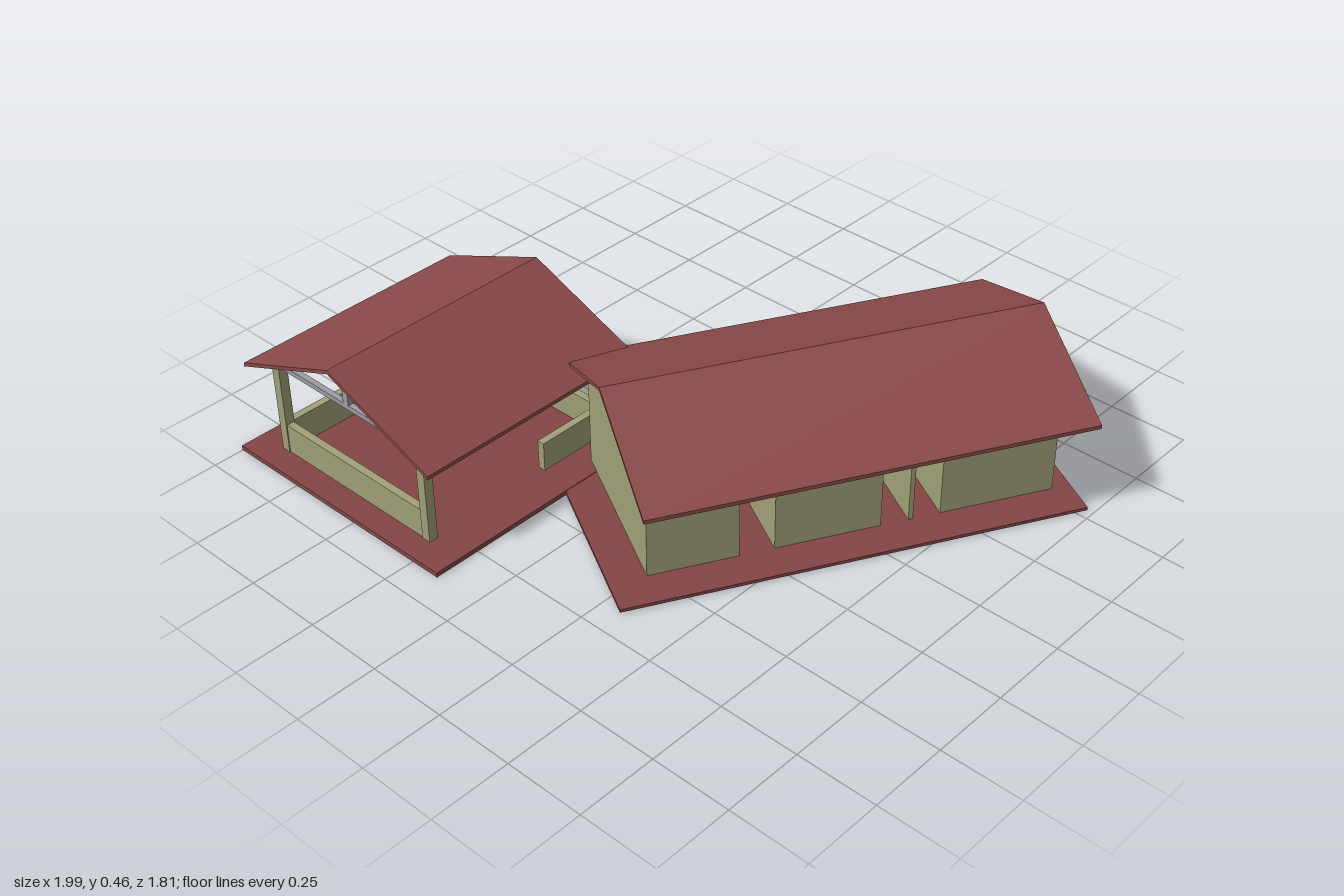
import * as THREE from 'three';

const mat = (color) => new THREE.MeshStandardMaterial({ color, flatShading: true });
const roofMat = mat(0x8b4a4a), floorMat = mat(0x844646), wallMat = mat(0xa0a078), steelMat = mat(0x9c9ca2);

const RIDGE = 0.463, EAVE = 0.305, HALF = 0.392, THICK = 0.012;
const SLOPE = (RIDGE - EAVE) / HALF;
const PITCH = Math.atan(SLOPE);

// Box given by its limits on each axis
function box(parent, name, material, x0, x1, y0, y1, z0, z1) {
  const m = new THREE.Mesh(new THREE.BoxGeometry(x1 - x0, y1 - y0, z1 - z0), material);
  m.position.set((x0 + x1) / 2, (y0 + y1) / 2, (z0 + z1) / 2);
  m.name = name;
  parent.add(m);
  return m;
}

// Outline in x and y, pushed along z from z0 to z1
function prism(parent, name, material, points, z0, z1) {
  const shape = new THREE.Shape(points.map(([x, y]) => new THREE.Vector2(x, y)));
  const g = new THREE.ExtrudeGeometry(shape, { depth: z1 - z0, bevelEnabled: false });
  const m = new THREE.Mesh(g, material);
  m.position.z = z0;
  m.name = name;
  parent.add(m);
  return m;
}

// Thin two-sided pitched roof with its ridge along z
function gableRoof(parent, z0, z1) {
  prism(parent, 'roof', roofMat, [
    [-HALF, EAVE - THICK], [0, RIDGE - THICK], [HALF, EAVE - THICK],
    [HALF, EAVE], [0, RIDGE], [-HALF, EAVE],
  ], z0, z1);
}

function buildHouse() {
  const house = new THREE.Group();
  house.name = 'house';
  const W = 0.272, T = 0.014, BACK = -0.597, FRONT = 0.609, DOOR = 0.205;
  const sideTop = RIDGE - THICK - SLOPE * W;

  box(house, 'houseFloor', floorMat, -0.382, 0.382, 0.003, 0.013, -0.655, 0.718);
  gableRoof(house, -0.66, 0.651);

  // End walls and cross walls share one gable outline
  const gable = (name, w, z0, z1) => prism(house, name, wallMat, [
    [-w, 0], [w, 0], [w, RIDGE - THICK - SLOPE * w], [0, RIDGE - THICK], [-w, RIDGE - THICK - SLOPE * w],
  ], z0, z1);
  gable('frontWall', W, FRONT - T, FRONT);
  gable('backWall', W, BACK, BACK + T);
  for (const z of [-0.265, -0.169, -0.072, 0.228, 0.344]) gable('crossWall', W - 0.003, z, z + T);

  // Plain left wall, and right wall broken by three doorways
  box(house, 'sideWall', wallMat, -W, -W + T, 0, sideTop, BACK, FRONT);
  const doors = [[-0.251, -0.169], [-0.155, -0.072], [0.242, 0.344]];
  let start = BACK;
  for (const [a, b] of doors) {
    box(house, 'doorSideWall', wallMat, W - T, W, 0, sideTop, start, a);
    box(house, 'lintel', wallMat, W - T, W, DOOR, sideTop, a, b);
    start = b;
  }
  box(house, 'doorSideWall', wallMat, W - T, W, 0, sideTop, start, FRONT);

  house.position.set(0.33, 0, -0.1425);
  house.rotation.y = -THREE.MathUtils.degToRad(29);
  return house;
}

function buildTruss(z) {
  const truss = new THREE.Group();
  truss.name = 'truss';
  const h = 0.009, span = 0.325;
  box(truss, 'bottomChord', steelMat, -span, span, 0.308, 0.324, -h, h);
  box(truss, 'kingPost', steelMat, -0.011, 0.011, 0.315, RIDGE - 0.018, -h, h);
  for (const s of [-1, 1]) {
    const rafter = new THREE.Mesh(new THREE.BoxGeometry(span / Math.cos(PITCH), 0.018, 2 * h), steelMat);
    rafter.name = 'rafter';
    rafter.position.set(s * span / 2, RIDGE - THICK - 0.01 - SLOPE * span / 2, 0);
    rafter.rotation.z = -s * PITCH;
    truss.add(rafter);
  }
  truss.position.z = z;
  return truss;
}

function buildPavilion() {
  const pavilion = new THREE.Group();
  pavilion.name = 'pavilion';
  const S = 0.32, D = 0.335, P = 0.015, T = 0.012, LOW = 0.11;

  box(pavilion, 'pavilionFloor', floorMat, -0.425, 0.425, 0, 0.015, -0.425, 0.425);
  gableRoof(pavilion, -0.392, 0.394);

  // Corner posts and one centre post
  const post = (x, z, top) => box(pavilion, 'post', wallMat, x - P, x + P, 0.01, top, z - P, z + P);
  for (const x of [-S + P, S - P]) for (const z of [-D, D]) post(x, z, 0.328);
  post(0, 0, 0.31);

  // Low walls, open in the middle of the back and along part of the right
  const low = (x0, x1, z0, z1) => box(pavilion, 'lowWall', wallMat, x0, x1, 0.01, LOW, z0, z1);
  low(-S, S, D - T, D + T);
  low(-S, -S + 2 * T, -D, D);
  low(-S, -0.1, -D - T, -D + T);
  low(0.08, S, -D - T, -D + T);
  low(S - 2 * T, S, -D, -0.09);

  for (const z of [-D, 0, D]) pavilion.add(buildTruss(z));
  pavilion.position.set(-0.577, 0, 0.475);
  // Shift everything above the floor to sit under the ridge line
  pavilion.children.forEach((c) => { if (c.name !== 'pavilionFloor') c.position.x -= 0.007; });
  return pavilion;
}

export function createModel() {
  const model = new THREE.Group();
  model.name = 'houseWithPavilion';
  model.add(buildHouse(), buildPavilion());
  return model;
}
